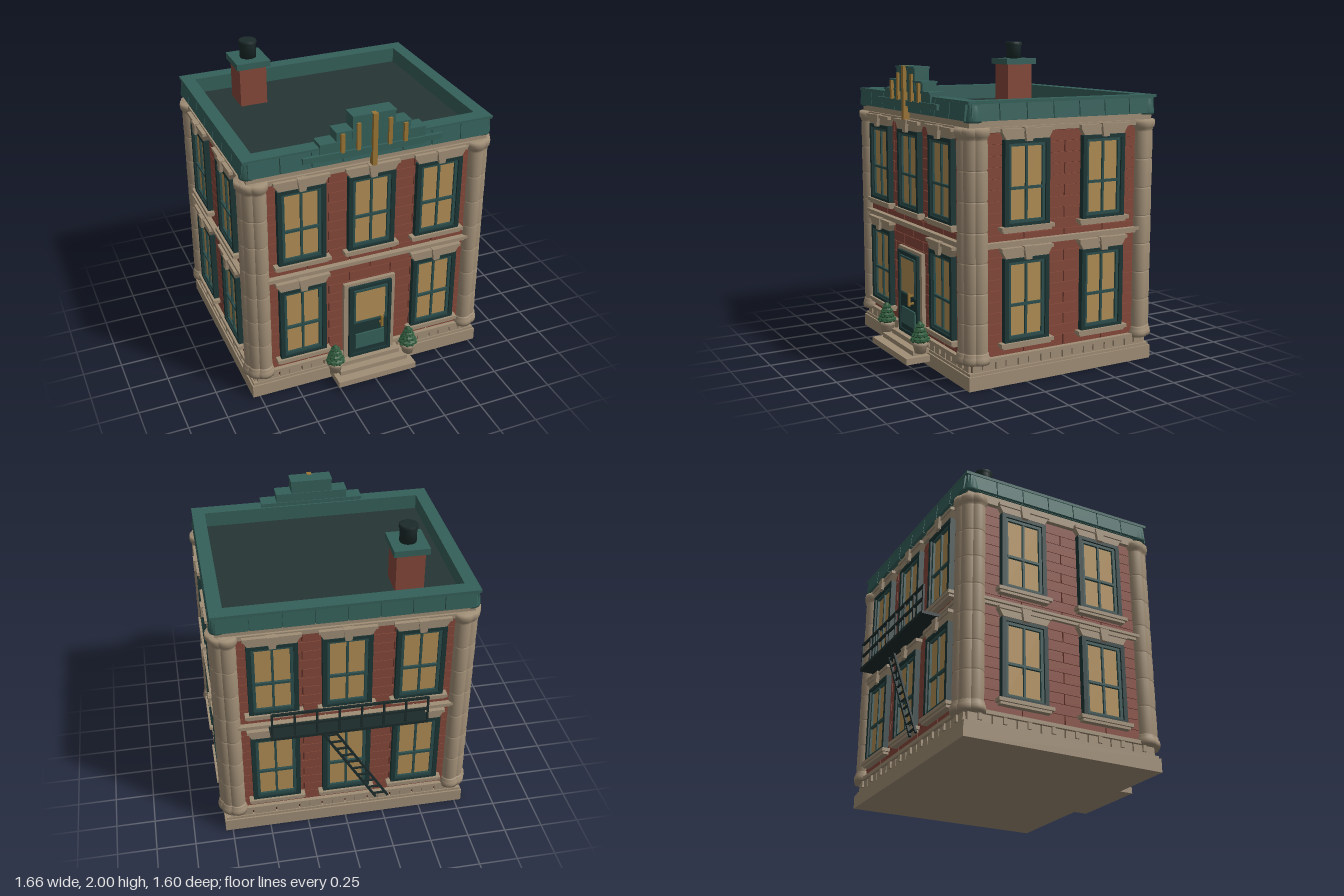
import * as THREE from 'three';
import { mergeGeometries } from 'three/addons/utils/BufferGeometryUtils.js';

const mat = (color, flatShading = false) => {
  const m = new THREE.MeshStandardMaterial({ color, flatShading });
  return m;
};
const stone = mat(0xa08e76), brick = mat(0x85483a), mortar = mat(0x5a2d25), green = mat(0x35605a);
const dark = mat(0x1d3636), sash = mat(0x2c4e4c), glass = mat(0xb08d55), gold = mat(0x9a7434);
const deckMat = mat(0x263635), iron = mat(0x1c2a2a), leaf = mat(0x2f5a3c, true);

function add(parent, name, geo, material, x = 0, y = 0, z = 0) {
  const m = new THREE.Mesh(geo, material);
  m.name = name;
  m.position.set(x, y, z);
  parent.add(m);
  return m;
}
// Box given by its extents on each axis
const box = (parent, name, material, x0, x1, y0, y1, z0, z1) =>
  add(parent, name, new THREE.BoxGeometry(x1 - x0, y1 - y0, z1 - z0), material, (x0 + x1) / 2, (y0 + y1) / 2, (z0 + z1) / 2);

function group(parent, name, x = 0, y = 0, z = 0) {
  const g = new THREE.Group();
  g.name = name;
  g.position.set(x, y, z);
  parent.add(g);
  return g;
}
const rect = (C, w, h) => new C([[-w, -h], [w, -h], [w, h], [-w, h]].map(p => new THREE.Vector2(p[0] / 2, p[1] / 2)));
// Rectangular frame with a rectangular opening
function frameGeo(w, h, w2, h2, depth) {
  const s = rect(THREE.Shape, w, h);
  s.holes.push(rect(THREE.Path, w2, h2));
  return new THREE.ExtrudeGeometry(s, { depth, bevelEnabled: false });
}
function wedgeGeo(bottom, top, y0, y1, depth) {
  const s = new THREE.Shape([[-bottom, y0], [bottom, y0], [top, y1], [-top, y1]].map(p => new THREE.Vector2(...p)));
  return new THREE.ExtrudeGeometry(s, { depth, bevelEnabled: false });
}
const lathe = (pts, n = 16) => new THREE.LatheGeometry(pts.map(p => new THREE.Vector2(...p)), n);

// Column of stacked drums with grooved joints
function columnGeo() {
  const pts = [[0, 0.155], [0.064, 0.155], [0.067, 0.175], [0.064, 0.195], [0.058, 0.2], [0.058, 0.215], [0.053, 0.22]];
  const n = 7, h = (1.47 - 0.22) / n;
  for (let i = 0; i < n; i++) {
    const y = 0.22 + i * h;
    pts.push([0.049, y + 0.001], [0.053, y + 0.008], [0.054, y + h / 2], [0.053, y + h - 0.008], [0.049, y + h - 0.001]);
  }
  pts.push([0.056, 1.475], [0.056, 1.485], [0.064, 1.49], [0.067, 1.512], [0.064, 1.535], [0, 1.535]);
  return lathe(pts);
}
const column = columnGeo();

function windowUnit(parent, x, y) {
  const g = group(parent, 'window', x, y, 0);
  add(g, 'windowFrame', frameGeo(0.305, 0.51, 0.25, 0.465, 0.045), dark);
  add(g, 'windowSash', frameGeo(0.25, 0.465, 0.212, 0.43, 0.034), sash);
  box(g, 'windowGlass', glass, -0.11, 0.11, -0.22, 0.22, 0, 0.02);
  box(g, 'mullion', sash, -0.007, 0.007, -0.22, 0.22, 0.018, 0.032);
  box(g, 'crossBar', sash, -0.11, 0.11, -0.036, -0.02, 0.018, 0.036);
  box(g, 'sill', stone, -0.18, 0.18, -0.272, -0.25, 0, 0.06);
  box(g, 'sillUnderside', stone, -0.165, 0.165, -0.287, -0.272, 0, 0.048);
  add(g, 'lintel', wedgeGeo(0.145, 0.17, 0.257, 0.3, 0.045), stone);
  box(g, 'lintelCap', stone, -0.175, 0.175, 0.3, 0.32, 0, 0.055);
  add(g, 'keystone', wedgeGeo(0.02, 0.032, 0.245, 0.325, 0.066), stone);
}

// One wall in its own frame: wall plane at z = 0, facing +z
function facade(parent, name, half, windows, x, z, turn) {
  const g = group(parent, name, x, 0, z);
  g.rotation.y = turn;
  const bricks = [], inner = half - 0.07, course = 0.066;
  for (let row = 0; row < 20; row++) {
    const y = 0.18 + course * (row + 0.5);
    for (let a = -inner - (row % 2) * 0.14; a < inner; a += 0.28) {
      const l = Math.max(a, -inner) + 0.004, r = Math.min(a + 0.28, inner) - 0.004;
      if (r - l < 0.02) continue;
      bricks.push(new THREE.BoxGeometry(r - l, course - 0.003, 0.02).translate((l + r) / 2, y, 0));
    }
  }
  add(g, 'brickwork', mergeGeometries(bricks), brick);
  for (const [wx, wy] of windows) windowUnit(g, wx, wy);
  // Stone courses
  box(g, 'beltCourse', stone, -inner, inner, 0.832, 0.85, 0, 0.03);
  box(g, 'beltCourseCap', stone, -inner, inner, 0.85, 0.868, 0, 0.045);
  box(g, 'plinthLedge', stone, -half, half, 0.155, 0.178, -0.02, 0.032);
  box(g, 'topCourse', stone, -half, half, 1.505, 1.535, -0.02, 0.03);
  const n = Math.round(half * 2 / 0.15), step = half * 2 / n;
  for (let i = 0; i < n; i++) {
    const c = -half + step * (i + 0.5);
    box(g, 'plinthBlock', stone, c - step / 2 + 0.005, c + step / 2 - 0.005, 0.1, 0.155, -0.02, 0.014);
    box(g, 'plinthBracket', stone, c - 0.012, c + 0.012, 0.115, 0.155, 0, 0.026);
  }
  // Engaged columns at both ends
  for (const s of [-1, 1]) add(g, 'wallColumn', column, stone, s * (half - 0.052), 0, 0.002);
  // Cornice panels with open joints
  const m = Math.round(half * 2 / 0.19), pw = (half * 2 + 0.02) / m;
  for (let i = 0; i < m; i++) {
    const c = -half - 0.01 + pw * (i + 0.5);
    const p = add(g, 'cornicePanel', new THREE.BoxGeometry(pw - 0.006, 0.1, 0.03), green, c, 1.624, 0.022);
    p.rotation.x = -0.1;
  }
  return g;
}

function plant(parent, x) {
  const g = group(parent, 'pottedPlant', x, 0, 0.7);
  add(g, 'pot', lathe([[0, 0.1], [0.034, 0.1], [0.046, 0.15], [0.053, 0.152], [0.053, 0.17], [0.044, 0.17], [0, 0.165]]), stone);
  for (let i = 0; i < 4; i++) {
    const r = 0.06 - i * 0.013;
    const tier = add(g, 'foliage', new THREE.SphereGeometry(r, 9, 5), leaf, 0, 0.188 + i * 0.029, 0);
    tier.scale.y = 0.026 / r;
    tier.rotation.y = i * 0.4;
    for (let k = 0; k < 9; k++) {
      const a = k / 9 * Math.PI * 2 + i * 0.4;
      add(g, 'leafTuft', new THREE.OctahedronGeometry(0.016), leaf, Math.cos(a) * r * 0.85, 0.184 + i * 0.029, Math.sin(a) * r * 0.85);
    }
  }
}

// Thin bar between two points
function bar(parent, name, a, b, t) {
  const p = new THREE.Vector3(...a), q = new THREE.Vector3(...b);
  const m = add(parent, name, new THREE.BoxGeometry(t, p.distanceTo(q), t), iron);
  m.position.copy(p).lerp(q, 0.5);
  m.quaternion.setFromUnitVectors(new THREE.Vector3(0, 1, 0), q.sub(p).normalize());
}

export function createModel() {
  const root = new THREE.Group();
  root.name = 'townhouse';
  const cz = -0.015;

  // Foundation and core
  box(root, 'baseSlab', stone, -0.795, 0.795, 0, 0.085, -0.67, 0.64);
  box(root, 'baseSlabRim', stone, -0.785, 0.785, 0.085, 0.102, -0.66, 0.63);
  box(root, 'wallCore', mortar, -0.757, 0.757, 0.1, 1.54, -0.637, 0.607);
  box(root, 'frieze', stone, -0.775, 0.775, 1.53, 1.575, -0.655, 0.625);

  // Walls
  const hi = 1.205, lo = 0.51, bay = 0.45;
  const upper = [[-bay, hi], [0, hi], [bay, hi]], outer = [[-bay, lo], [bay, lo]];
  const side = [-0.27, 0.27].flatMap(x => [[x, lo], [x, hi]]);
  const front = facade(root, 'frontWall', 0.76, [...upper, ...outer], 0, 0.61, 0);
  facade(root, 'backWall', 0.76, [...upper, ...outer, [0, lo]], 0, -0.64, Math.PI);
  facade(root, 'leftWall', 0.625, side, 0.76, cz, Math.PI / 2);
  facade(root, 'rightWall', 0.625, side, -0.76, cz, -Math.PI / 2);

  // Cornice, parapet and flat roof
  const parapet = add(root, 'parapet', frameGeo(1.57, 1.29, 1.43, 1.135, 0.115), green, 0, 1.572, -0.0175);
  parapet.rotation.x = -Math.PI / 2;
  const lip = add(root, 'parapetLip', frameGeo(1.595, 1.315, 1.43, 1.135, 0.018), green, 0, 1.67, -0.0175);
  lip.rotation.x = -Math.PI / 2;
  box(root, 'roofDeck', deckMat, -0.73, 0.73, 1.565, 1.59, -0.6, 0.56);
  const bell = lathe([[0, 1.565], [0.05, 1.565], [0.053, 1.58], [0.046, 1.62], [0.04, 1.66], [0.025, 1.684], [0, 1.69]]);
  for (const sx of [-1, 1]) for (const z of [-0.625, 0.59]) {
    add(root, 'corniceCorner', bell, green, sx * 0.755, 0, z);
    add(root, 'cornerColumn', column, stone, sx * 0.745, 0, z < 0 ? -0.625 : 0.595);
  }

  // Stepped gable with gilded bars
  const gable = group(root, 'gable');
  for (const [w, y0, y1, z] of [[0.335, 1.6, 1.715, 0.652], [0.235, 1.7, 1.775, 0.654], [0.135, 1.7, 1.86, 0.658]]) {
    box(gable, 'gableStep', green, -w, w, y0, y1 - 0.012, 0.56, z);
    box(gable, 'gableStepCap', green, -w - 0.003, w + 0.003, y1 - 0.012, y1, 0.555, z + 0.006);
  }
  box(gable, 'gableLedge', green, -0.445, 0.445, 1.615, 1.65, 0.6, 0.665);
  for (const [x, y0, y1] of [[0, 1.53, 1.862], [0.1, 1.645, 1.815], [-0.1, 1.645, 1.815], [0.2, 1.645, 1.765], [-0.2, 1.645, 1.765]]) {
    const w = x ? 0.012 : 0.015;
    box(gable, 'gildedBar', gold, x - w, x + w, y0, y1, 0.64, x ? 0.672 : 0.68);
  }

  // Chimney
  const chimney = group(root, 'chimney', -0.418, 0, -0.365);
  box(chimney, 'chimneyStack', brick, -0.088, 0.088, 1.58, 1.845, -0.095, 0.095);
  box(chimney, 'chimneyCap', green, -0.11, 0.11, 1.845, 1.885, -0.118, 0.118);
  add(chimney, 'chimneyPot', lathe([[0, 1.885], [0.052, 1.885], [0.052, 1.97], [0.058, 1.975], [0.058, 1.995], [0.05, 2], [0, 2]], 20), iron);

  // Door, local to the front wall
  const door = group(front, 'door');
  box(door, 'doorSurround', stone, -0.175, 0.175, 0.13, 0.7, 0, 0.035);
  add(door, 'doorFrame', frameGeo(0.29, 0.54, 0.25, 0.5, 0.05), dark, 0, 0.41, 0.005);
  box(door, 'doorLeaf', dark, -0.13, 0.13, 0.14, 0.67, 0, 0.045);
  add(door, 'doorSash', frameGeo(0.23, 0.25, 0.205, 0.225, 0.014), sash, 0, 0.525, 0.042);
  box(door, 'doorGlass', glass, -0.105, 0.105, 0.41, 0.64, 0.03, 0.05);
  box(door, 'doorPanel', green, -0.1, 0.1, 0.2, 0.31, 0.03, 0.055);
  box(door, 'doorHandle', gold, 0.064, 0.08, 0.35, 0.43, 0.07, 0.084);
  for (const y of [0.365, 0.415]) box(door, 'handleMount', gold, 0.066, 0.078, y - 0.006, y + 0.006, 0.04, 0.075);

  // Entrance steps and planters
  box(root, 'lowerStep', stone, -0.27, 0.27, 0.035, 0.075, 0.6, 0.8);
  box(root, 'middleStep', stone, -0.235, 0.235, 0.075, 0.105, 0.6, 0.74);
  box(root, 'upperStep', stone, -0.2, 0.2, 0.105, 0.135, 0.6, 0.69);
  for (const s of [-1, 1]) plant(root, s * 0.257);

  // Fire escape on the back wall
  const escape = group(root, 'fireEscape');
  box(escape, 'platform', iron, -0.488, 0.488, 0.836, 0.856, -0.8, -0.65);
  for (const y of [0.94, 1.025]) bar(escape, 'rail', [-0.485, y, -0.79], [0.485, y, -0.79], 0.014);
  for (let i = 0; i < 8; i++) {
    const x = -0.48 + i * 0.96 / 7;
    bar(escape, 'railPost', [x, 0.85, -0.79], [x, 1.03, -0.79], 0.012);
  }
  for (const s of [-1, 1]) bar(escape, 'stairStringer', [0.16 + s * 0.04, 0.845, -0.715], [-0.23 + s * 0.04, 0.18, -0.715], 0.014);
  for (let i = 0; i < 11; i++) {
    const t = (i + 0.5) / 11, x = 0.16 - 0.39 * t, y = 0.845 - 0.665 * t;
    bar(escape, 'stairRung', [x - 0.04, y, -0.715], [x + 0.04, y, -0.715], 0.011);
  }
  return root;
}
